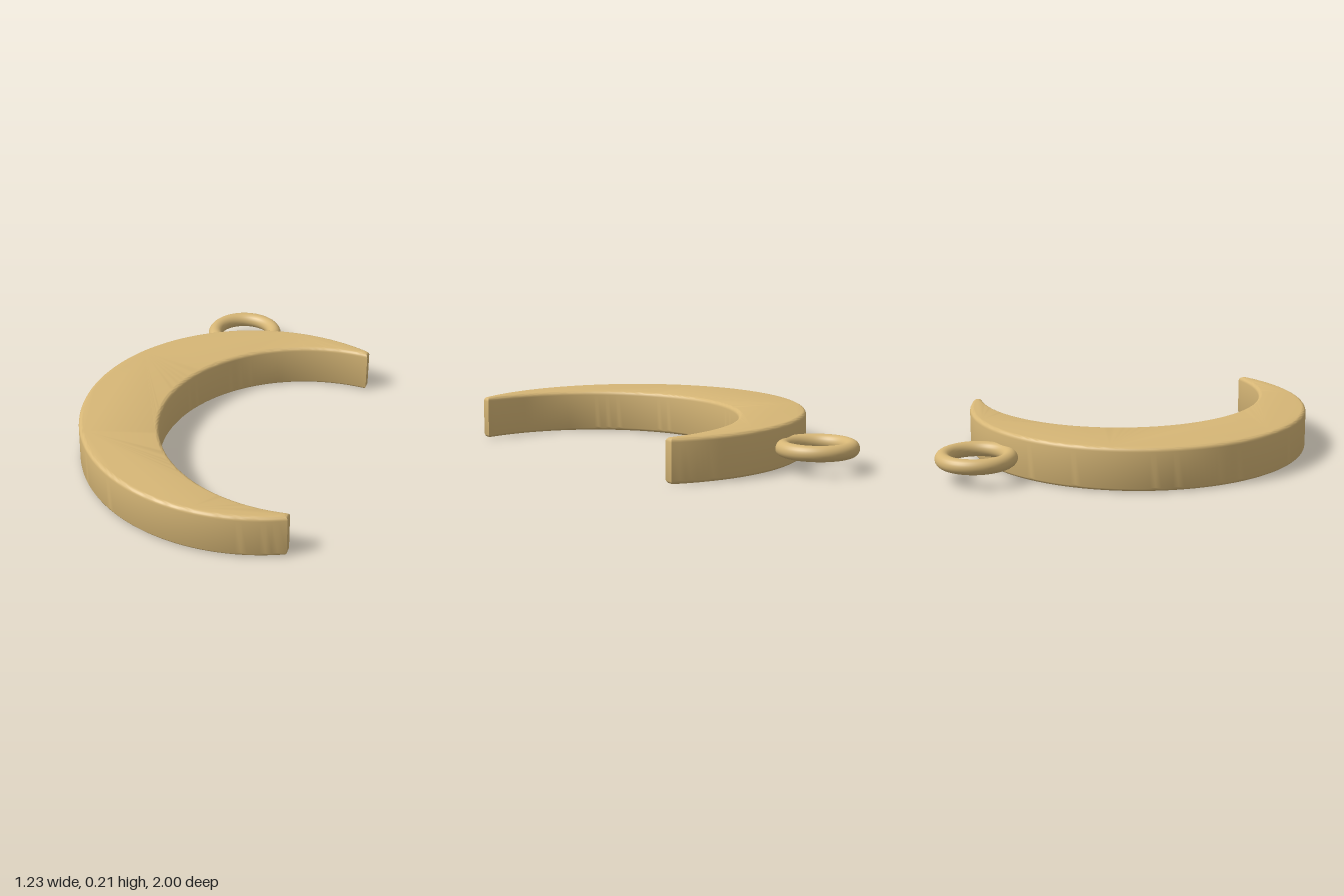
import * as THREE from 'three';
import { toCreasedNormals } from 'three/addons/utils/BufferGeometryUtils.js';

export function createModel() {
  const model = new THREE.Group();
  model.name = 'crescentPendant';
  const gold = new THREE.MeshStandardMaterial({ color: 0xd6b676 });
  gold.name = 'gold';

  // Crescent: two offset arcs cut square at the tips, inset by the bevel
  const bevel = 0.02, height = 0.21, tipX = 0.617 - bevel, centreZ = 0.14;
  const outer = { x: 0.243, r: 0.86 - bevel };
  const inner = { x: 0.5225, r: 0.7375 + bevel };
  const tipAngle = (c) => Math.acos((tipX - c.x) / c.r);
  const a = tipAngle(outer), b = tipAngle(inner);
  const outline = new THREE.Shape();
  outline.absarc(outer.x, -centreZ, outer.r, a, 2 * Math.PI - a, false);
  outline.absarc(inner.x, -centreZ, inner.r, 2 * Math.PI - b, b, true);

  const body = new THREE.ExtrudeGeometry(outline, {
    depth: height - 2 * bevel,
    bevelEnabled: true,
    bevelSize: bevel,
    bevelThickness: bevel,
    bevelSegments: 5,
    curveSegments: 64,
  });
  body.rotateX(-Math.PI / 2);
  body.translate(0, bevel, 0);
  const crescent = new THREE.Mesh(toCreasedNormals(body, 0.7), gold);
  crescent.name = 'crescent';
  model.add(crescent);

  // Hanging ring, lying flat and sunk into the back edge
  const loop = new THREE.TorusGeometry(0.16, 0.037, 24, 72);
  loop.rotateX(Math.PI / 2);
  const ring = new THREE.Mesh(loop, gold);
  ring.name = 'hangingRing';
  ring.position.set(-0.113, height / 2, -0.803);
  model.add(ring);

  return model;
}
